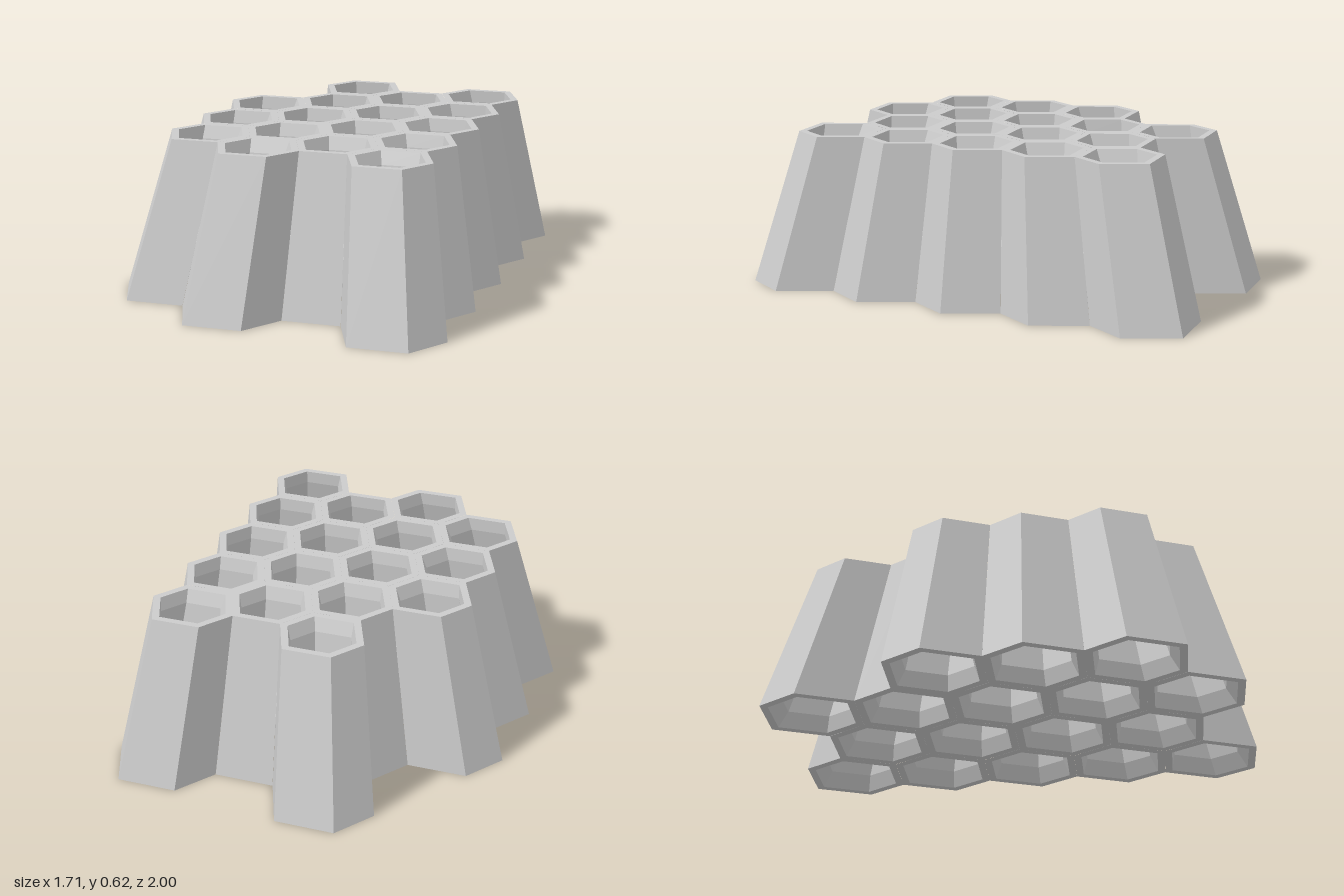
import * as THREE from 'three';

const HEIGHT = 0.615, TOP_SCALE = 0.81;
const PITCH_X = 0.1905, PITCH_Z = 0.312;

// Cell columns in half-pitch steps, row by row from back to front
const ROWS = [[0], [-3, -1, 1], [-2, 0, 2], [-3, -1, 1, 3], [-2, 0, 2, 4], [-1, 1]];

// Slightly flattened hexagon, and the neighbour step across each of its edges
const CORNERS = [[0, -0.22], [0.19, -0.092], [0.19, 0.092], [0, 0.22], [-0.19, 0.092], [-0.19, -0.092]];
const STEPS = [[1, -1], [2, 0], [1, 1], [-1, 1], [-2, 0], [-1, -1]];

// Cell profile [hexagon scale, height]: underside pocket, outer wall, rim, bevel, top pocket
const PROFILE = [
  [0, 0.2], [0.7, 0.2], [0.72, 0.06], [0.84, 0], [1, 0],
  [1, HEIGHT], [0.82, HEIGHT], [0.74, HEIGHT - 0.05], [0.72, 0.22], [0, 0.22],
];

const hasCell = (n, r) => !!ROWS[r] && ROWS[r].includes(n);

function cellGeometry(n, r) {
  const cx = -0.095 + n * PITCH_X, cz = (r - 2.5) * PITCH_Z;
  // The whole comb tapers towards its centre as it rises
  const point = ([s, y], i) => {
    const k = 1 - (1 - TOP_SCALE) * y / HEIGHT;
    const [x, z] = CORNERS[i % 6];
    return [(cx + s * x) * k, y, (cz + s * z) * k];
  };
  const pos = [];
  for (let j = 0; j < PROFILE.length - 1; j++) {
    const p = PROFILE[j], q = PROFILE[j + 1];
    const outerWall = p[0] === 1 && q[0] === 1;
    for (let i = 0; i < 6; i++) {
      // No outer wall where two cells join
      if (outerWall && hasCell(n + STEPS[i][0], r + STEPS[i][1])) continue;
      if (p[0] > 0) pos.push(...point(p, i), ...point(q, i), ...point(p, i + 1));
      if (q[0] > 0) pos.push(...point(p, i + 1), ...point(q, i), ...point(q, i + 1));
    }
  }
  const geo = new THREE.BufferGeometry();
  geo.setAttribute('position', new THREE.Float32BufferAttribute(pos, 3));
  geo.computeVertexNormals();
  return geo;
}

export function createModel() {
  const comb = new THREE.Group();
  comb.name = 'honeycomb';
  const material = new THREE.MeshStandardMaterial({ color: 0xcccccc, flatShading: true });
  ROWS.forEach((row, r) => {
    const rowGroup = new THREE.Group();
    rowGroup.name = `cellRow${r + 1}`;
    row.forEach((n, c) => {
      const cell = new THREE.Mesh(cellGeometry(n, r), material);
      cell.name = `cell${r + 1}_${c + 1}`;
      rowGroup.add(cell);
    });
    comb.add(rowGroup);
  });
  return comb;
}
